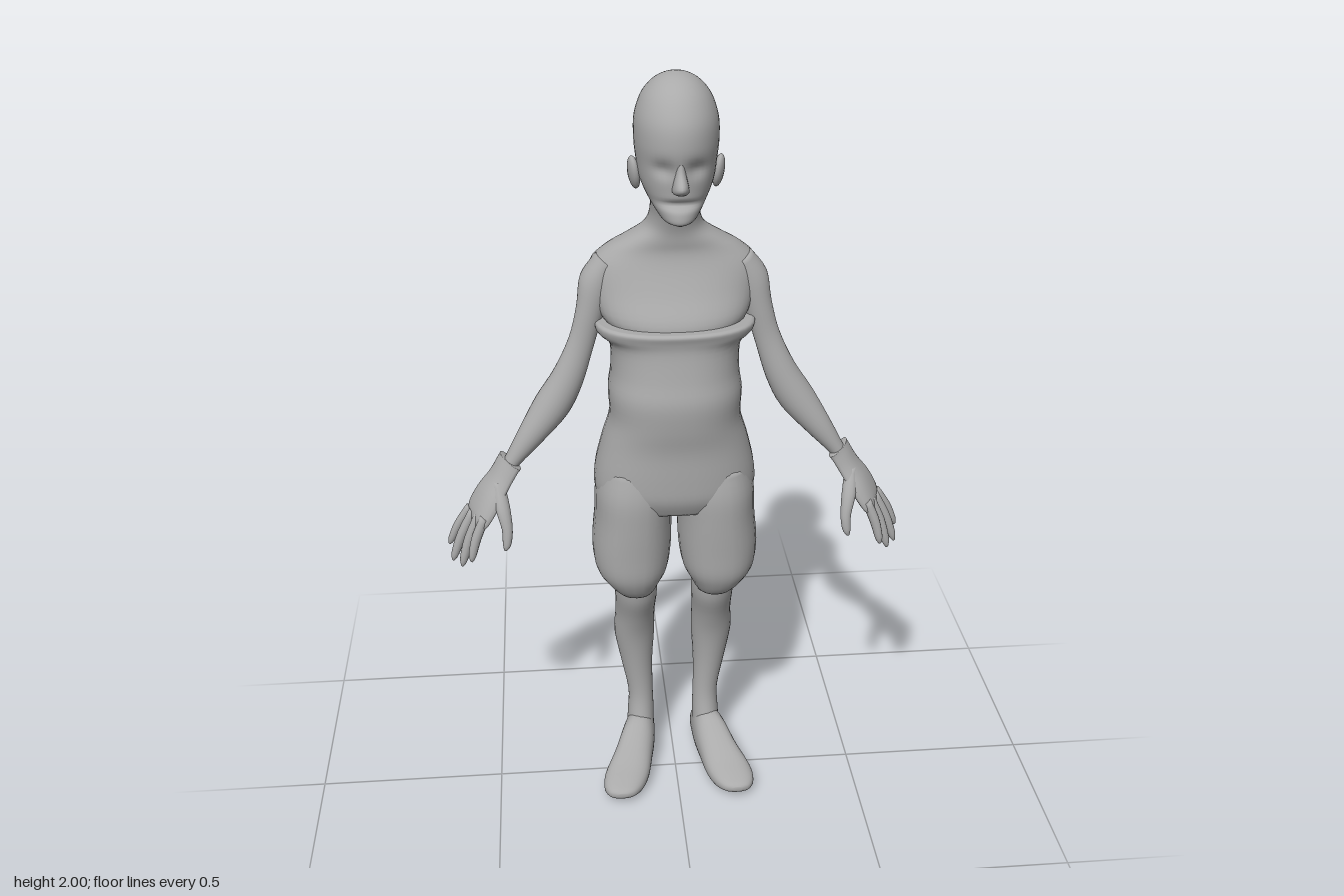
import * as THREE from 'three';

const X = [1, 0, 0], Y = [0, 1, 0], Z = [0, 0, 1];
const ARM = [0.87, 0.5, 0]; // direction across the hanging arm

// Smooth curve through rows of numbers
function smoothRows(rows, steps) {
  const out = [];
  const at = i => rows[Math.min(rows.length - 1, Math.max(0, i))];
  for (let i = 0; i < rows.length - 1; i++) {
    for (let k = 0; k < steps; k++) {
      const t = k / steps;
      out.push(rows[i].map((b, j) => {
        const a = at(i - 1)[j], c = at(i + 1)[j], d = at(i + 2)[j];
        return b + 0.5 * t * (c - a + t * (2 * a - 5 * b + 4 * c - d + t * (3 * (b - c) + d - a)));
      }));
    }
  }
  out.push(rows[rows.length - 1]);
  return out;
}

// Capped skin over rings [x, y, z, radius along u, radius along v]; side -1 mirrors it
function loft(sections, u, v, { side = 1, segs = 28, power = 2, steps = 4, warp } = {}) {
  const rows = smoothRows(sections, steps), pos = [], index = [];
  const add = p => {
    if (warp) warp(p);
    pos.push(p[0] * side, p[1], p[2]);
  };
  const e = 2 / power;
  const soft = n => Math.sign(n) * Math.pow(Math.abs(n), e);
  for (const r of rows) {
    for (let j = 0; j < segs; j++) {
      const a = j / segs * Math.PI * 2;
      const c = soft(Math.cos(a)) * Math.max(r[3], 0.001), s = soft(Math.sin(a)) * Math.max(r[4], 0.001);
      add([0, 1, 2].map(k => r[k] + u[k] * c + v[k] * s));
    }
  }
  const first = rows[0], last = rows[rows.length - 1], n = rows.length;
  add(first.slice(0, 3));
  add(last.slice(0, 3));
  const along = new THREE.Vector3(last[0] - first[0], last[1] - first[1], last[2] - first[2]);
  const flip = new THREE.Vector3(...u).cross(new THREE.Vector3(...v)).dot(along) * side < 0;
  const tri = (a, b, c) => flip ? index.push(a, c, b) : index.push(a, b, c);
  for (let j = 0; j < segs; j++) {
    const k = (j + 1) % segs;
    for (let i = 0; i < n - 1; i++) {
      const p = i * segs, q = p + segs;
      tri(p + j, p + k, q + k);
      tri(p + j, q + k, q + j);
    }
    tri(n * segs, k, j);
    tri(n * segs + 1, (n - 1) * segs + j, (n - 1) * segs + k);
  }
  const g = new THREE.BufferGeometry();
  g.setAttribute('position', new THREE.Float32BufferAttribute(pos, 3));
  g.setIndex(index);
  g.computeVertexNormals();
  return g;
}

// Horizontal ring from its limits: height, x range, z range
const ring = (y, x0, x1, z0, z1) => [(x0 + x1) / 2, y, (z0 + z1) / 2, (x1 - x0) / 2, (z1 - z0) / 2];
const mid = (y, w, z0, z1) => ring(y, -w, w, z0, z1);

export function createModel() {
  const model = new THREE.Group();
  const grey = new THREE.MeshStandardMaterial({ color: 0xaaaaaa });
  grey.name = 'plain grey';
  const part = (name, geometry) => {
    const mesh = new THREE.Mesh(geometry, grey);
    mesh.name = name;
    model.add(mesh);
    return mesh;
  };

  // Head with sunken eye sockets and a mouth crease
  const face = p => {
    if (p[2] < 0.05) return;
    const dx = (Math.abs(p[0]) - 0.038) / 0.024, dy = (p[1] - 1.8) / 0.02;
    p[2] -= 0.014 * Math.exp(-dx * dx - dy * dy);
    const mx = p[0] / 0.045, my = (p[1] - 1.718) / 0.009;
    p[2] -= 0.014 * Math.exp(-mx * mx - my * my);
  };
  part('head', loft([
    mid(1.667, 0.012, 0.09, 0.132), mid(1.675, 0.036, 0.05, 0.143), mid(1.695, 0.054, 0, 0.143),
    mid(1.725, 0.073, -0.045, 0.136), mid(1.76, 0.088, -0.078, 0.138), mid(1.8, 0.095, -0.1, 0.145),
    mid(1.85, 0.1, -0.11, 0.152), mid(1.9, 0.098, -0.108, 0.146), mid(1.945, 0.083, -0.088, 0.122),
    mid(1.975, 0.06, -0.058, 0.092), mid(1.993, 0.032, -0.02, 0.056), mid(2, 0.002, 0.016, 0.02),
  ], X, Z, { segs: 48, steps: 6, warp: face }));
  part('nose', loft([
    mid(1.825, 0.008, 0.12, 0.145), mid(1.795, 0.012, 0.11, 0.155), mid(1.768, 0.018, 0.1, 0.181),
    mid(1.752, 0.02, 0.1, 0.17), mid(1.743, 0.01, 0.11, 0.145),
  ], X, Z, { segs: 16 }));

  // Neck and shoulders
  part('neckAndShoulders', loft([
    mid(1.76, 0.06, -0.06, 0.06), mid(1.7, 0.06, -0.068, 0.06), mid(1.655, 0.062, -0.088, 0.042),
    mid(1.62, 0.078, -0.107, 0.03), mid(1.59, 0.122, -0.124, 0.025), mid(1.56, 0.17, -0.142, 0.022),
    mid(1.52, 0.207, -0.16, 0.032), mid(1.46, 0.203, -0.165, 0.057), mid(1.4, 0.185, -0.158, 0.088),
    mid(1.36, 0.15, -0.13, 0.09),
  ], X, Z, { segs: 40, power: 2.2 }));

  // Close-fitting body garment with a ledge at the chest
  part('bodyGarment', loft([
    mid(1.387, 0.192, -0.155, 0.108), mid(1.38, 0.2, -0.162, 0.117), mid(1.36, 0.195, -0.152, 0.112),
    mid(1.33, 0.165, -0.146, 0.11), mid(1.26, 0.162, -0.165, 0.12), mid(1.2, 0.17, -0.175, 0.131),
    mid(1.13, 0.168, -0.165, 0.125), mid(1.06, 0.188, -0.166, 0.113), mid(0.98, 0.207, -0.177, 0.11),
    mid(0.92, 0.21, -0.18, 0.105), mid(0.875, 0.19, -0.165, 0.085),
  ], X, Z, { segs: 40, power: 2.3 }));

  for (const side of [1, -1]) {
    const label = side > 0 ? 'left' : 'right';
    const limb = (name, rows, u, v, options) => part(label + name, loft(rows, u, v, { side, ...options }));

    const ear = part(label + 'Ear', new THREE.SphereGeometry(1, 16, 12));
    ear.scale.set(0.014, 0.042, 0.025);
    ear.position.set(side * 0.1, 1.767, 0.022);
    ear.rotation.set(0.2, side * -0.25, side * -0.12);

    // Baggy short leg, gathered at the knee
    limb('ShortsLeg', [
      ring(0.99, 0.01, 0.19, -0.16, 0.09), ring(0.92, 0.004, 0.208, -0.178, 0.102),
      ring(0.84, 0.008, 0.212, -0.178, 0.1), ring(0.75, 0.01, 0.22, -0.168, 0.094),
      ring(0.68, 0.02, 0.212, -0.152, 0.088), ring(0.635, 0.04, 0.185, -0.14, 0.07),
      ring(0.608, 0.052, 0.162, -0.13, 0.05),
    ], X, Z, { power: 2.3 });

    // Knee, calf and ankle
    limb('LowerLeg', [
      ring(0.66, 0.05, 0.165, -0.12, 0.04), ring(0.58, 0.047, 0.162, -0.124, 0.03),
      ring(0.5, 0.052, 0.16, -0.145, -0.004), ring(0.42, 0.052, 0.164, -0.154, -0.03),
      ring(0.32, 0.058, 0.147, -0.143, -0.045), ring(0.22, 0.058, 0.128, -0.126, -0.05),
      ring(0.15, 0.056, 0.13, -0.13, -0.04), ring(0.08, 0.056, 0.135, -0.138, -0.02),
    ], X, Z);

    // Foot, turned outward
    limb('Foot', [
      [0.09, 0.055, -0.152, 0.018, 0.022], [0.092, 0.062, -0.138, 0.036, 0.046],
      [0.096, 0.078, -0.08, 0.042, 0.068], [0.106, 0.076, -0.03, 0.048, 0.07],
      [0.122, 0.058, 0.02, 0.054, 0.054], [0.143, 0.041, 0.08, 0.062, 0.038],
      [0.155, 0.034, 0.125, 0.055, 0.028], [0.16, 0.034, 0.155, 0.036, 0.016],
      [0.16, 0.035, 0.165, 0.012, 0.006],
    ], X, Y, { power: 2.4 });

    // Arm from shoulder to wrist
    limb('Arm', [
      [0.165, 1.53, -0.05, 0.03, 0.045], [0.192, 1.47, -0.045, 0.045, 0.046],
      [0.212, 1.4, -0.03, 0.036, 0.032], [0.235, 1.32, -0.023, 0.034, 0.026],
      [0.27, 1.23, -0.022, 0.041, 0.037], [0.313, 1.155, -0.021, 0.046, 0.045],
      [0.37, 1.08, -0.004, 0.034, 0.033], [0.415, 1.02, 0.003, 0.022, 0.025],
      [0.438, 0.985, 0.006, 0.018, 0.021],
    ], ARM, Z);

    // Hand: broad palm, four fingers and a thumb
    limb('Palm', [
      [0.424, 1.015, 0.005, 0.027, 0.029], [0.434, 1, 0.006, 0.026, 0.029],
      [0.455, 0.965, 0.01, 0.025, 0.033], [0.485, 0.92, 0.017, 0.026, 0.046],
      [0.512, 0.875, 0.022, 0.022, 0.051], [0.523, 0.852, 0.023, 0.012, 0.045],
    ], [0.87, 0.5, -0.35], [0.3, 0.15, -1], { segs: 20, power: 2.4 });
    const finger = (name, a, b, r) => {
      const row = (t, k, bend = 0) => [...a.map((n, i) => n + (b[i] - n) * t + (i === 0 ? bend : 0)), r * k, r * k];
      limb(name, [row(0, 1), row(0.45, 1.05, 0.005), row(0.85, 0.85, 0.002), row(1, 0.3)], ARM, Z, { segs: 12, steps: 3 });
    };
    finger('IndexFinger', [0.497, 0.88, 0.06], [0.537, 0.762, 0.076], 0.0125);
    finger('MiddleFinger', [0.512, 0.875, 0.036], [0.563, 0.735, 0.05], 0.013);
    finger('RingFinger', [0.527, 0.875, 0.01], [0.588, 0.735, 0.018], 0.0125);
    finger('LittleFinger', [0.537, 0.875, -0.016], [0.597, 0.762, -0.022], 0.011);
    limb('Thumb', [
      [0.458, 0.965, 0.02, 0.014, 0.016], [0.45, 0.91, 0.055, 0.019, 0.018],
      [0.44, 0.855, 0.078, 0.014, 0.013], [0.442, 0.815, 0.086, 0.011, 0.011],
      [0.446, 0.798, 0.089, 0.004, 0.004],
    ], X, Z, { segs: 14 });
  }

  return model;
}
